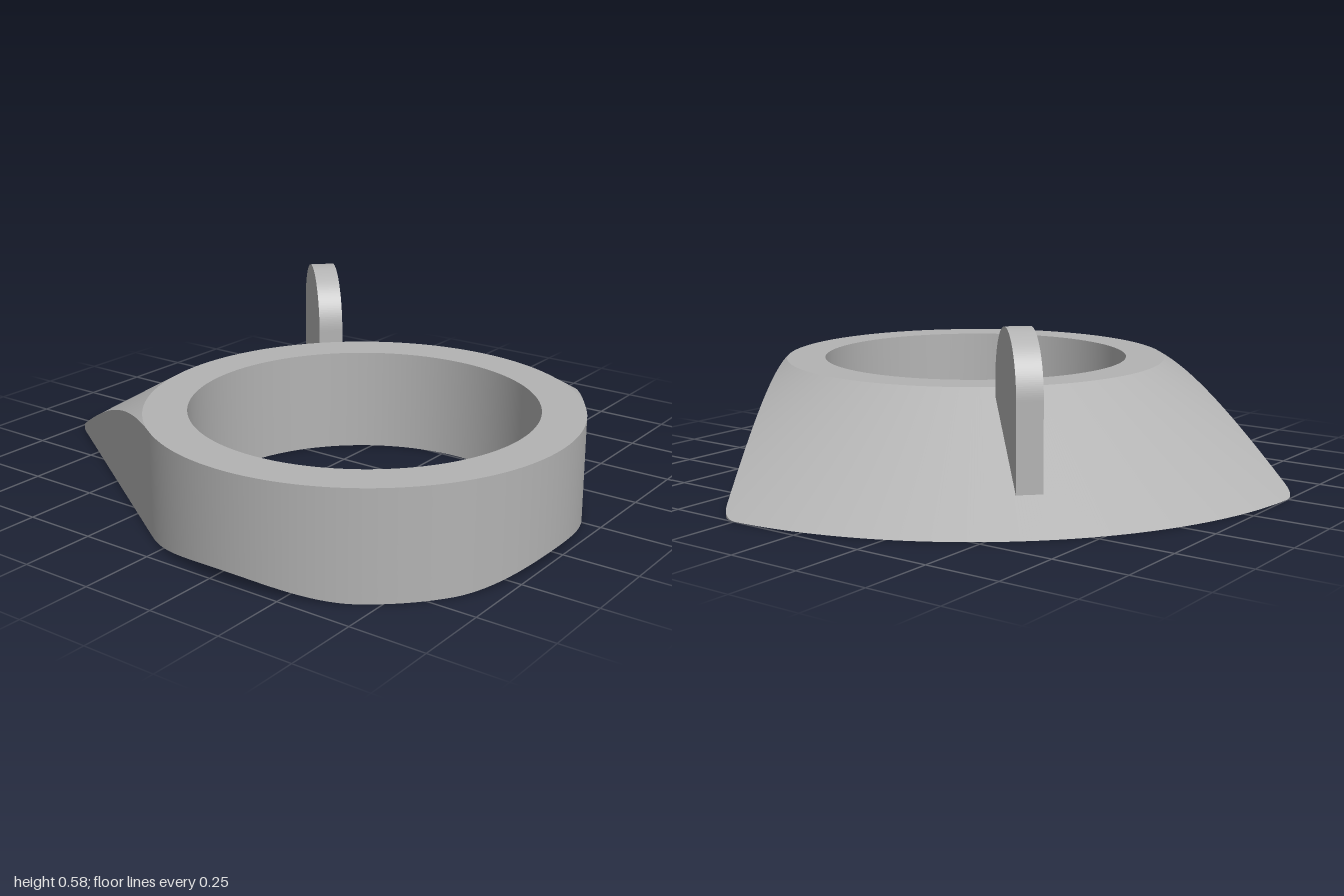
import * as THREE from 'three';

const CX = -0.3, CZ = 0.3;                 // ring axis
const R_IN = 0.56, R_RING = 0.7, R_FAN = 1.3, H = 0.35;
const CORNER = 0.1, UNDER = 0.2;           // fan corner and underside rounding radii
const STEPS = 720;

// Outline radius at an angle measured from the fan's centre line
const tangentAngle = Math.PI / 4 + Math.acos(R_RING / R_FAN);
const cornerDist = R_FAN - CORNER;
const cornerAngle = tangentAngle - Math.acos((R_RING - CORNER) / cornerDist);
const cornerEnd = tangentAngle - Math.atan(
  cornerDist * Math.sin(tangentAngle - cornerAngle) / R_RING);
function outline(phi) {
  const p = Math.abs(phi);
  if (p >= tangentAngle) return R_RING;
  if (p <= cornerAngle) return R_FAN;
  if (p >= cornerEnd) return R_RING / Math.cos(tangentAngle - p);
  const d = p - cornerAngle;
  return cornerDist * Math.cos(d) + Math.sqrt(CORNER ** 2 - (cornerDist * Math.sin(d)) ** 2);
}

// Height of the cone that slopes from the ring to the fan's rim
const coneY = (r) => H * (R_FAN - r) / (R_FAN - R_RING);

// Underside is rounded upward at the two outer sides of the ring
function underY(r, a) {
  const d = Math.max(0, r * Math.sin(a) - 0.58, -r * Math.cos(a) - 0.58);
  return UNDER - Math.sqrt(UNDER ** 2 - Math.min(d, 0.19) ** 2);
}

// Sweep a section around the axis; section(phi, a) returns [radius, y] rows
function sweep(section) {
  const pos = [], index = [];
  let rows = 0;
  for (let i = 0; i <= STEPS; i++) {
    const phi = -Math.PI + (i / STEPS) * Math.PI * 2, a = phi - Math.PI / 4;
    const pts = section(phi, a);
    rows = pts.length;
    for (const [r, y] of pts) pos.push(CX + r * Math.cos(a), y, CZ + r * Math.sin(a));
  }
  const v = (k) => new THREE.Vector3().fromArray(pos, k * 3);
  const tri = (a, b, c) => {
    if (new THREE.Triangle(v(a), v(b), v(c)).getArea() > 1e-9) index.push(a, b, c);
  };
  for (let i = 0; i < STEPS; i++) {
    for (let j = 0; j < rows - 1; j++) {
      const p = i * rows + j, q = p + rows;
      tri(p, p + 1, q);
      tri(p + 1, q + 1, q);
    }
  }
  const geo = new THREE.BufferGeometry();
  geo.setAttribute('position', new THREE.Float32BufferAttribute(pos, 3));
  geo.setIndex(index);
  geo.computeVertexNormals();
  return geo;
}

export function createModel() {
  const group = new THREE.Group();
  const grey = new THREE.MeshStandardMaterial({ color: 0xb3b3b3 });
  grey.name = 'plain grey';
  const add = (name, geo) => {
    const mesh = new THREE.Mesh(geo, grey);
    mesh.name = name;
    group.add(mesh);
    return mesh;
  };

  // Ring and sloped fan, one mesh per smooth face
  add('ringTop', sweep(() => [[R_RING, H], [R_IN, H]]));
  add('ringBore', sweep(() => [[R_IN, H], [R_IN, 0]]));
  add('fanSlope', sweep((phi) => {
    const r = outline(phi);
    return [[r, coneY(r)], [R_RING, H]];
  }));
  add('outerWall', sweep((phi, a) => {
    const r = outline(phi);
    return [[r, underY(r, a)], [r, coneY(r)]];
  }));
  add('underside', sweep((phi, a) => {
    const radii = [R_IN, 0.58, 0.6, 0.62, 0.64, 0.66, 0.68, outline(phi)];
    return radii.map((r) => [r, underY(r, a)]);
  }));

  // Upright round-topped tab along the fan's centre line
  const s0 = 0.738, s1 = 1.136, rad = (s1 - s0) / 2;
  const shape = new THREE.Shape();
  shape.moveTo(s0, coneY(s0) - 0.012);
  shape.lineTo(s1, coneY(s1) - 0.002);
  shape.lineTo(s1, 0.58 - rad);
  shape.absarc((s0 + s1) / 2, 0.58 - rad, rad, 0, Math.PI, false);
  const tabGeo = new THREE.ExtrudeGeometry(shape, { depth: 0.084, bevelEnabled: false, curveSegments: 48 });
  tabGeo.translate(0, 0, -0.042);
  const tab = add('gripTab', tabGeo);
  tab.rotation.y = Math.PI / 4;
  tab.position.set(CX, 0, CZ);

  return group;
}
